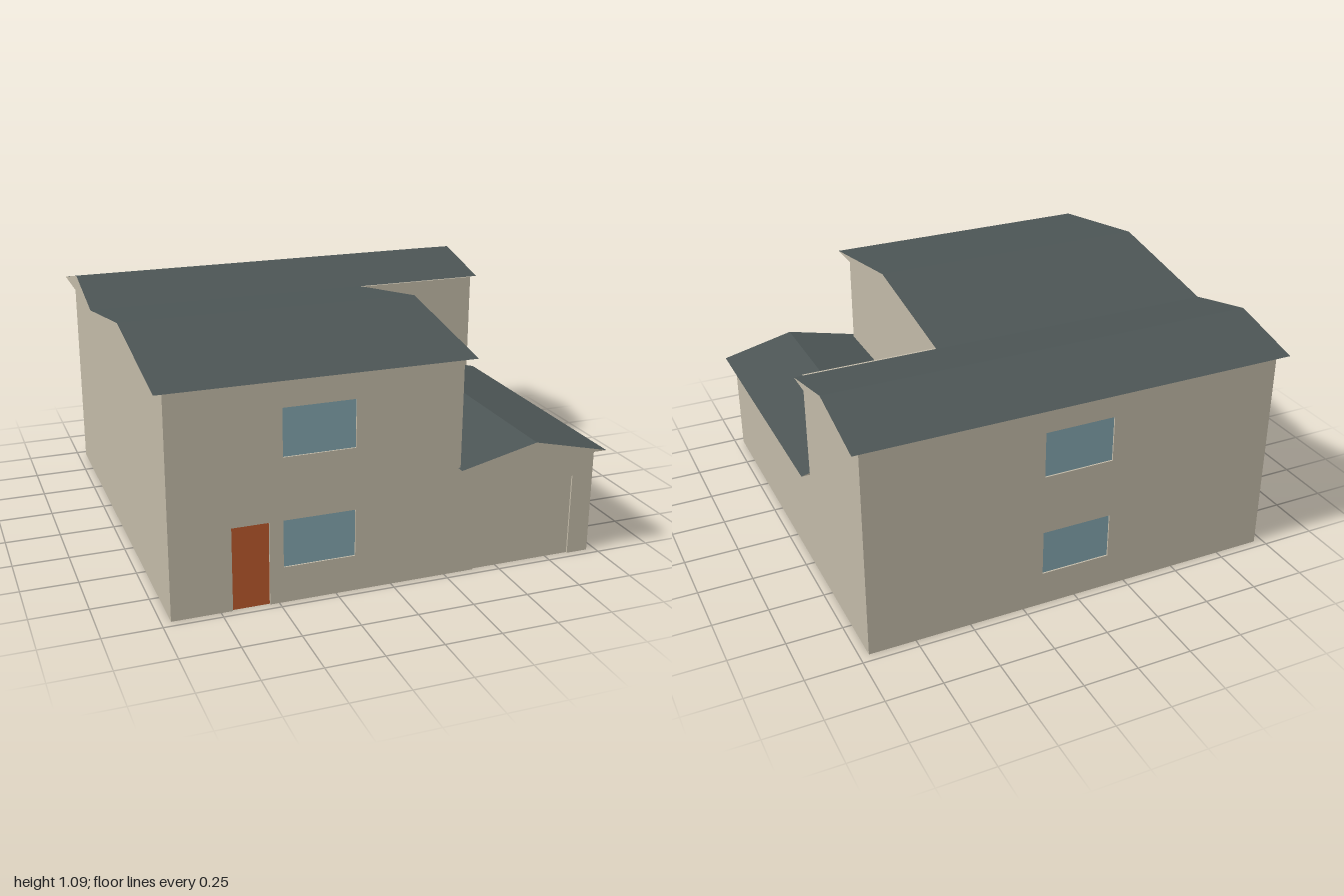
import * as THREE from 'three';

const T = 0.02;        // wall thickness
const EAVE = 0.978;    // upper eave height
const LOW = 0.49;      // garage eave height

export function createModel() {
  const house = new THREE.Group();
  house.name = 'house';
  const mat = (name, color, side = THREE.FrontSide) => {
    const m = new THREE.MeshStandardMaterial({ color, side });
    m.name = name;
    return m;
  };
  const wallMat = mat('beige wall', 0xc1b9a7);
  const roofMat = mat('slate roof', 0x4c5555);
  const glassMat = mat('blue glass', 0x82a4ac);
  const doorMat = mat('rust door', 0xb8582c);
  const floorMat = mat('brown floor', 0x8a6e58);

  const add = (name, geometry, material) => {
    const mesh = new THREE.Mesh(geometry, material);
    mesh.name = name;
    house.add(mesh);
    return mesh;
  };
  // box given by its limits on each axis
  const block = (name, material, x0, x1, y0, y1, z0, z1) =>
    add(name, new THREE.BoxGeometry(x1 - x0, y1 - y0, z1 - z0), material)
      .position.set((x0 + x1) / 2, (y0 + y1) / 2, (z0 + z1) / 2);

  // wall across x with an optional doorway notch and window holes
  const openWall = (name, x0, x1, h, z, door, windows) => {
    const s = new THREE.Shape();
    s.moveTo(x0, 0);
    if (door) {
      s.lineTo(door[0], 0);
      s.lineTo(door[0], door[2]);
      s.lineTo(door[1], door[2]);
      s.lineTo(door[1], 0);
    }
    s.lineTo(x1, 0);
    s.lineTo(x1, h);
    s.lineTo(x0, h);
    s.closePath();
    for (const [a, b, c, d] of windows) {
      const hole = new THREE.Path();
      hole.moveTo(a, c);
      hole.lineTo(a, d);
      hole.lineTo(b, d);
      hole.lineTo(b, c);
      hole.closePath();
      s.holes.push(hole);
    }
    const g = new THREE.ExtrudeGeometry(s, { depth: T, bevelEnabled: false });
    g.translate(0, 0, z);
    add(name, g, wallMat);
    for (const [a, b, c, d] of windows)
      block('window', glassMat, a, b, c, d, z + T / 2 - 0.003, z + T / 2 + 0.003);
  };

  // front and back walls with windows and doors
  const frontWindows = [[-0.48, -0.165, 0.16, 0.37], [-0.48, -0.165, 0.645, 0.855]];
  const backWindows = [[-0.16, 0.16, 0.16, 0.37], [-0.16, 0.16, 0.645, 0.855]];
  openWall('frontWall', -0.96, 0.31, EAVE, 0.945, [-0.7, -0.54, 0.37], frontWindows);
  openWall('garageFrontWall', 0.31, 0.96, LOW, 0.945, [0.385, 0.86, 0.375], []);
  openWall('backWall', -0.96, 0.96, EAVE, -0.96, null, backWindows);
  block('frontDoor', doorMat, -0.7, -0.54, 0, 0.37, 0.95, 0.957);
  block('garageDoor', wallMat, 0.385, 0.86, 0, 0.375, 0.95, 0.957);

  // side walls and partitions
  block('rightSideWall', wallMat, -0.96, -0.94, 0, EAVE, -0.94, 0.945);
  block('rearLeftWall', wallMat, 0.94, 0.96, 0, EAVE, -0.94, -0.28);
  block('garageSideWall', wallMat, 0.94, 0.96, 0, LOW, -0.28, 0.945);
  block('rearPartition', wallMat, -0.94, 0.94, 0, EAVE, -0.3, -0.28);
  block('garagePartition', wallMat, 0.29, 0.31, 0, EAVE, -0.28, 0.945);

  // floors between the walls
  block('mainFloor', floorMat, -0.94, 0.29, 0.003, 0.02, -0.28, 0.945);
  block('garageFloor', floorMat, 0.31, 0.94, 0.003, 0.02, -0.28, 0.945);
  block('rearFloor', floorMat, -0.94, 0.94, 0.003, 0.02, -0.94, -0.3);

  // gabled roof: beige ends, slate slopes and soffit
  const roof = (name, width, rise, length) => {
    const s = new THREE.Shape();
    s.moveTo(-width / 2, 0);
    s.lineTo(width / 2, 0);
    s.lineTo(0, rise);
    s.closePath();
    const g = new THREE.ExtrudeGeometry(s, { depth: length, bevelEnabled: false });
    g.translate(0, 0, -length / 2);
    return add(name, g, [wallMat, roofMat]);
  };
  const main = roof('mainRoof', 1.29, 0.11, 1.355);
  main.rotation.y = Math.PI / 2;
  main.position.set(-0.3225, EAVE, 0.355);
  const rear = roof('rearRoof', 0.71, 0.084, 2);
  rear.rotation.y = Math.PI / 2;
  rear.position.set(0, EAVE, -0.645);
  roof('garageRoof', 0.7, 0.082, 1.285).position.set(0.65, LOW, 0.3575);

  return house;
}
